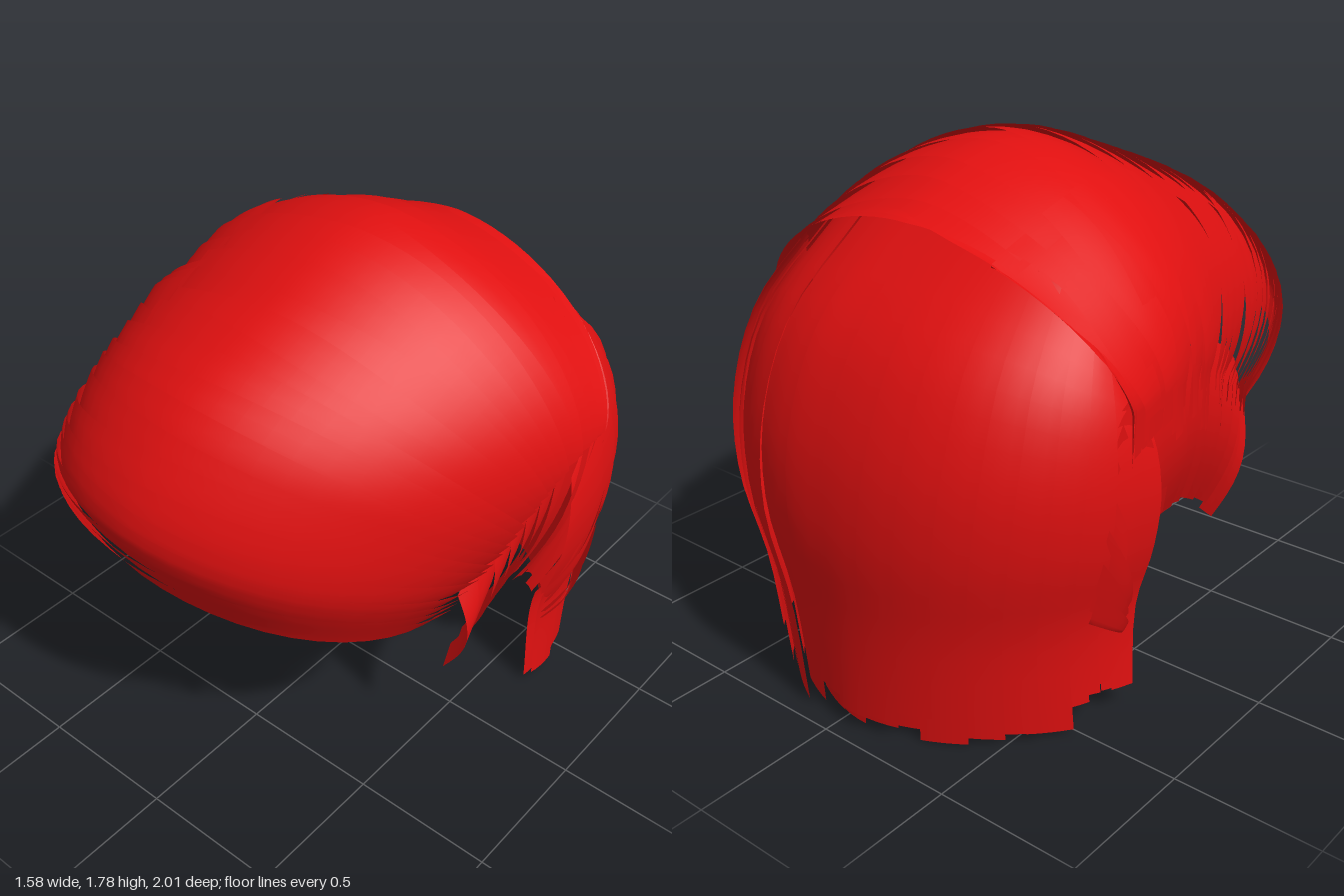
import * as THREE from 'three';
import { mergeGeometries } from 'three/addons/utils/BufferGeometryUtils.js';

const V = (x, y, z) => new THREE.Vector3(x, y, z);
const curve = (pts) => new THREE.CatmullRomCurve3(pts.map((p) => V(...p)));
const lerp = THREE.MathUtils.lerp;

let seed = 7;
const rnd = () => (seed = (seed * 16807) % 2147483647) / 2147483647;

// One lock of hair: f(u along, v across) gives a point
function lock(f, nu = 18, nv = 4) {
  const pos = [], idx = [];
  for (let i = 0; i <= nu; i++) {
    for (let j = 0; j <= nv; j++) pos.push(...f(i / nu, j / nv).toArray());
  }
  for (let i = 0; i < nu; i++) {
    for (let j = 0; j < nv; j++) {
      const a = i * (nv + 1) + j, b = a + nv + 1;
      idx.push(a, b, a + 1, b, b + 1, a + 1);
    }
  }
  const g = new THREE.BufferGeometry();
  g.setAttribute('position', new THREE.Float32BufferAttribute(pos, 3));
  g.setIndex(idx);
  g.computeVertexNormals();
  return g;
}

// Arch from side point S (angle 0 or PI) over the crest point C (PI/2)
function arch(S, C, theta, power) {
  const M = V(C.x, S.y, S.z);
  const c = Math.abs(Math.cos(theta)) ** power;
  const s = Math.max(0, Math.sin(theta)) ** power;
  return M.clone().addScaledVector(S.sub(M), c).addScaledVector(C.sub(M), s);
}

// Moves a point towards the middle of the head, to shingle the locks
const CORE = V(0, 0.9, -0.1);
function sink(p, d) {
  const dir = p.clone().sub(CORE);
  if (p.y < CORE.y) dir.y = 0;
  return p.addScaledVector(dir.normalize(), -d);
}

export function createModel() {
  const group = new THREE.Group();
  const red = new THREE.MeshStandardMaterial({ color: 0xe01010, side: THREE.DoubleSide });
  red.name = 'hairRed';
  const add = (name, locks) => {
    const m = new THREE.Mesh(mergeGeometries(locks), red);
    m.name = name;
    group.add(m);
  };

  // Swept top: fringe at t = 0, crown at t = 1; the right side is fuller
  const topSide = curve([[0.65, 0.76, 0.32], [0.7, 0.86, 0.24], [0.75, 0.98, 0.12],
    [0.78, 1.1, -0.03], [0.785, 1.16, -0.2], [0.76, 1.15, -0.42]]);
  const topCrest = curve([[-0.1, 1.01, 0.96], [-0.07, 1.2, 1.0], [-0.04, 1.49, 0.79],
    [0, 1.69, 0.39], [0, 1.82, -0.1], [0, 1.63, -0.6]]);
  const fringe = [], crown = [], partSide = [];
  const sweep = (list, t0, t1, a0, a1, depth) => {
    const wave = rnd() * 6;
    list.push(lock((u, v) => {
      const w = 0.009 * Math.sin(u * 7 + wave) * Math.min(1, t0 * 8);
      const t = THREE.MathUtils.clamp(lerp(t0, t1, v) + w, 0, 1);
      const angle = lerp(a0, a1, u), theta = Math.min(angle, Math.PI);
      const S = topSide.getPoint(t), right = theta > Math.PI / 2;
      if (right) S.set(-S.x, S.y + 0.13 * (1 - t), S.z + 0.08 * (1 - t));
      const p = arch(S, topCrest.getPoint(t), theta, right ? lerp(0.88, 1.15, t) : 1.13);
      // The fringe droops to the left, loose ends hang on the right
      p.y -= 0.09 * Math.max(0, 1 - 2.5 * t) * Math.sin(2 * theta) + 0.8 * (angle - theta);
      return sink(p, depth + 0.03 * (1 - v));
    }, 28));
  };
  const N = 24;
  for (let i = 0; i < N; i++) {
    const t0 = i / N, t1 = Math.min(1, (i + 2.3) / N);
    const start = -0.05 * rnd() * (i > 0);
    if (t0 < 0.45) sweep(fringe, t0, t1, start, Math.PI + 0.15 * rnd() * (i > 1), 0);
    else {
      // Locks behind the fringe start at the parting
      sweep(crown, t0, t1, start, 2.16 + 0.06 * rnd(), 0);
      for (let k = 0; k < 2; k++) {
        const h = t0 + k * 0.5 / N;
        sweep(partSide, h, Math.min(1, h + 0.08), 2.1, Math.PI + 0.25 * rnd(), 0.03 * rnd() - 0.015);
      }
    }
  }
  add('sweptFringe', fringe);
  add('crownLocks', crown);
  add('partingLocks', partSide);

  // Back of the head: crown at t = 0, nape at t = 1
  const backSide = curve([[0.66, 1.2, -0.35], [0.74, 1.05, -0.3], [0.77, 0.85, -0.28],
    [0.75, 0.65, -0.28], [0.69, 0.42, -0.28], [0.69, 0.05, -0.28]]);
  const backCrest = curve([[0.03, 1.61, -0.5], [0.03, 1.34, -0.82], [0.03, 1.05, -0.96],
    [0.03, 0.75, -1.0], [0, 0.42, -0.97], [0, 0.03, -0.95]]);
  const fall = (n, from, depth) => {
    const list = [];
    for (let i = 0; i < n; i++) {
      const a0 = (i / n) * Math.PI;
      const a1 = Math.min(Math.PI, ((i + 1.4) / n) * Math.PI);
      const end = 1 - 0.07 * rnd(), slant = 0.012 * (rnd() - 0.5);
      const d = depth + 0.015 * rnd();
      list.push(lock((u, v) => {
        const t = Math.min(1, lerp(from, end, u) + slant * v * u);
        const theta = lerp(a0, a1, v), S = backSide.getPoint(t);
        if (theta > Math.PI / 2) S.x *= -1;
        const p = arch(S, backCrest.getPoint(t), theta, lerp(0.84, 1.15, t * t * t));
        return sink(p, d + 0.02 * (1 - v));
      }));
    }
    return list;
  };
  add('backLocks', fall(20, 0, -0.01));
  add('napeLocks', fall(17, 0.75, 0.03));

  // Sides: locks fan from the ear opening and blend into the top and back
  const ear = curve([[0.63, 0.5, 0.25], [0.64, 0.6, 0.13], [0.64, 0.65, 0.0],
    [0.65, 0.59, -0.17], [0.67, 0.42, -0.28], [0.67, 0.32, -0.3]]);
  const rim = curve([[0.67, 0.84, 0.25], [0.73, 1.1, 0.05], [0.74, 1.18, -0.2],
    [0.73, 1.1, -0.45], [0.74, 0.8, -0.52], [0.68, 0.45, -0.5]]);
  for (const s of [1, -1]) {
    const locks = [];
    for (let i = 0; i < 16; i++) {
      const from = 0.08 * rnd() * (i > 0), puff = 0.04 + 0.04 * rnd();
      locks.push(lock((u, v) => {
        const t = Math.min(1, (i + 1.6 * v) / 16);
        const k = lerp(from, 1, u);
        const p = ear.getPoint(t).lerp(rim.getPoint(t), k);
        p.x = s * (p.x + puff * (1 - 0.5 * t) * Math.sin(k * Math.PI) - 0.02 * v);
        // The right side reaches further up and forward, under the fringe
        if (s < 0) p.add(V(0, 0.12, 0.08).multiplyScalar(k * (1 - t)));
        return p;
      }, 10));
    }
    add(s > 0 ? 'leftSideLocks' : 'rightSideLocks', locks);
  }
  return group;
}
